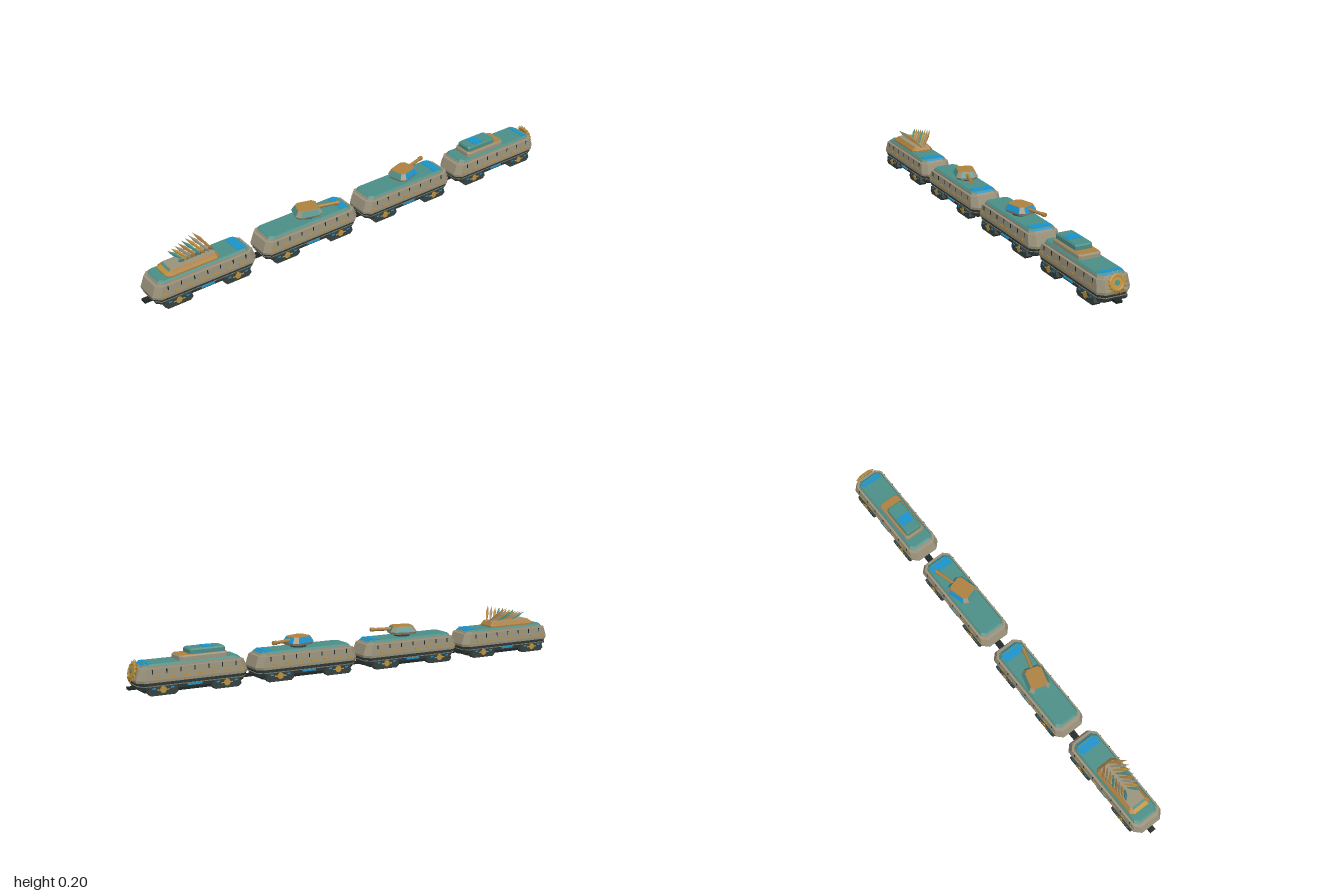
import * as THREE from 'three';

const mat = (name, color) => {
  const m = new THREE.MeshStandardMaterial({ color });
  m.name = name;
  return m;
};

export function createModel() {
  const beige = mat('armour beige', 0x99917a);
  const teal = mat('deck teal', 0x4b8e87);
  const brown = mat('bronze', 0xad8040);
  const dark = mat('chassis dark', 0x35413f);
  const black = mat('slit black', 0x1f2624);
  const blue = mat('glass blue', 0x1892cc);
  const gold = mat('hub gold', 0xba903c);

  const root = new THREE.Group();
  root.name = 'armouredTrain';

  const add = (parent, name, geo, material, x = 0, y = 0, z = 0) => {
    const m = new THREE.Mesh(geo, material);
    m.name = name;
    m.position.set(x, y, z);
    parent.add(m);
    return m;
  };
  const box = (parent, name, material, w, h, d, x, y, z) =>
    add(parent, name, new THREE.BoxGeometry(w, h, d), material, x, y, z);

  // Stack of rectangles with cut corners; each section is [y, halfX, halfZ, cut, zOffset].
  // Material groups: 0 corners and sides, 1 front face, 2 flanks, 3 rear face, 4 caps.
  const faceGroup = [2, 0, 3, 0, 2, 0, 1, 0];
  const loft = (sections) => {
    const rings = sections.map(([y, hx, hz, c, o = 0]) => [
      [hx, hz - c], [hx, c - hz], [hx - c, -hz], [c - hx, -hz],
      [-hx, c - hz], [-hx, hz - c], [c - hx, hz], [hx - c, hz],
    ].map(([x, z]) => [x, y, z + o]));
    const pos = [];
    const g = new THREE.BufferGeometry();
    const tri = (...pts) => pts.forEach((p) => pos.push(...p));
    for (let r = 0; r + 1 < rings.length; r++) {
      for (let i = 0; i < 8; i++) {
        const j = (i + 1) % 8, lo = rings[r], hi = rings[r + 1];
        g.addGroup(pos.length / 3, 6, faceGroup[i]);
        tri(lo[i], lo[j], hi[j]);
        tri(lo[i], hi[j], hi[i]);
      }
    }
    const first = rings[0], last = rings[rings.length - 1];
    g.addGroup(pos.length / 3, 36, 4);
    for (let i = 1; i < 7; i++) {
      tri(last[0], last[i], last[i + 1]);
      tri(first[0], first[i + 1], first[i]);
    }
    g.setAttribute('position', new THREE.Float32BufferAttribute(pos, 3));
    g.computeVertexNormals();
    return g;
  };

  // Hull, deck, chassis and running gear shared by every car
  const makeCar = (name, z, glassDepth = 0.035) => {
    const car = new THREE.Group();
    car.name = name;
    car.position.z = z;
    root.add(car);
    add(car, 'chassis', loft([
      [0.006, 0.044, 0.195, 0.015], [0.02, 0.058, 0.217, 0.02], [0.051, 0.068, 0.23, 0.024],
    ]), dark);
    add(car, 'chassisTrim', loft([
      [0.034, 0.0635, 0.225, 0.022], [0.0375, 0.065, 0.2265, 0.022],
    ]), beige);
    add(car, 'hull', loft([
      [0.05, 0.069, 0.231, 0.024], [0.06, 0.07, 0.233, 0.024], [0.104, 0.066, 0.218, 0.022],
      [0.105, 0.058, 0.207, 0.018], [0.113, 0.057, 0.203, 0.017],
    ]), beige);
    add(car, 'deck', loft([[0.113, 0.057, 0.202, 0.017], [0.12, 0.051, 0.194, 0.015]]),
      [teal, teal, teal, blue, teal]);
    box(car, 'deckGlass', blue, 0.092, 0.002, glassDepth, 0, 0.1205, -0.186 + glassDepth / 2);
    box(car, 'coupler', black, 0.026, 0.01, 0.5, 0, 0.025, 0);

    for (const s of [1, -1]) {
      // Firing slits and brass vents along the flank
      for (let i = 0; i < 7; i++) {
        const sz = (i - 3) * 0.058;
        box(car, 'slit', black, 0.003, 0.017, 0.004, s * 0.067, 0.093, sz);
        box(car, 'vent', gold, 0.004, 0.007, 0.022, s * 0.0692, 0.07, sz + 0.02);
      }
      box(car, 'skirtLamp', blue, 0.006, 0.007, 0.06, s * 0.0635, 0.03, 0);
      // Track bogies
      for (const b of [0.133, -0.133]) {
        const shape = new THREE.Shape([
          [-0.05, 0], [0.05, 0], [0.062, 0.012], [0.055, 0.034], [-0.055, 0.034], [-0.062, 0.012],
        ].map(([u, v]) => new THREE.Vector2(u, v)));
        const track = add(car, 'track',
          new THREE.ExtrudeGeometry(shape, { depth: 0.03, bevelEnabled: false }), dark,
          s > 0 ? 0.041 : -0.071, 0, b);
        track.rotation.y = Math.PI / 2;
        const hub = add(car, 'hub', new THREE.CylinderGeometry(0.014, 0.014, 0.004, 8), gold,
          s * 0.0705, 0.022, b);
        hub.rotation.z = Math.PI / 2;
        box(car, 'axleArm', gold, 0.004, 0.005, 0.05, s * 0.0705, 0.022, b);
        for (const e of [0.038, -0.038]) {
          box(car, 'bogieLamp', blue, 0.003, 0.006, 0.014, s * 0.0705, 0.028, b + e);
        }
      }
    }
    return car;
  };

  // Front car: sloped cabin with two rows of raised blades
  const lead = makeCar('spikeCar', 0.75);
  add(lead, 'cabinBase', loft([
    [0.119, 0.05, 0.118, 0.014, 0.045], [0.126, 0.05, 0.118, 0.014, 0.045],
    [0.136, 0.042, 0.107, 0.01, 0.041],
  ]), [brown, gold, brown, brown, brown]);
  add(lead, 'cabinRoof', loft([
    [0.1355, 0.041, 0.106, 0.006, 0.041], [0.143, 0.036, 0.099, 0.006, 0.039],
  ]), [brown, teal, brown, brown, beige]);
  const up = new THREE.Vector3(0, 1, 0);
  const bladeColors = [brown, beige, gold, teal];
  for (const s of [1, -1]) {
    for (let i = 0; i < 8; i++) {
      const len = 0.1 - i * 0.004;
      const dir = new THREE.Vector3(s * 0.058, 0.063, 0.05 + i * 0.004).normalize();
      const profile = [[0.003, 0], [0.0075, len * 0.62], [0, len]]
        .map(([r, y]) => new THREE.Vector2(r, y));
      const geo = new THREE.LatheGeometry(profile, 4).toNonIndexed();
      geo.computeVertexNormals();
      const blade = add(lead, 'blade', geo, bladeColors[i % 4], s * 0.004, 0.138, -0.065 + i * 0.018);
      blade.quaternion.setFromUnitVectors(up, dir);
    }
  }

  // Two gun cars, turrets swung to opposite sides and aimed backwards
  const gunCar = (name, z, yaw, flank) => {
    const car = makeCar(name, z);
    const turret = new THREE.Group();
    turret.name = 'turret';
    turret.position.z = -0.015;
    turret.rotation.y = yaw;
    car.add(turret);
    add(turret, 'turretRing', new THREE.CylinderGeometry(0.034, 0.034, 0.014, 12), dark, 0, 0.125, 0);
    add(turret, 'turretSkirt', loft([
      [0.13, 0.043, 0.054, 0.016], [0.14, 0.048, 0.058, 0.018],
    ]), beige);
    add(turret, 'turretShell', loft([
      [0.14, 0.048, 0.058, 0.018], [0.162, 0.037, 0.045, 0.013],
    ]), [beige, teal, flank, flank, brown]);
    add(turret, 'turretRoof', loft([
      [0.1615, 0.037, 0.045, 0.013], [0.1635, 0.036, 0.044, 0.013],
    ]), brown);
    const barrel = add(turret, 'barrel', new THREE.CylinderGeometry(0.0065, 0.008, 0.11, 8), brown,
      0, 0.15, -0.085);
    barrel.rotation.x = -Math.PI / 2;
    const muzzle = add(turret, 'muzzle', new THREE.CylinderGeometry(0.009, 0.009, 0.018, 8), brown,
      0, 0.15, -0.13);
    muzzle.rotation.x = -Math.PI / 2;
  };
  gunCar('frontGunCar', 0.25, -0.28, teal);
  gunCar('rearGunCar', -0.25, 0.28, blue);

  // Rear car: stepped hut and a toothed wheel on the sloping tail
  const tail = makeCar('hutCar', -0.75, 0.018);
  add(tail, 'hutBase', loft([
    [0.119, 0.048, 0.103, 0.01, 0.05], [0.134, 0.047, 0.102, 0.01, 0.05],
    [0.14, 0.043, 0.098, 0.009, 0.05],
  ]), [beige, beige, beige, beige, brown]);
  add(tail, 'hutTop', loft([
    [0.139, 0.037, 0.075, 0.006, 0.069], [0.155, 0.037, 0.075, 0.006, 0.069],
    [0.161, 0.033, 0.071, 0.006, 0.069],
  ]), teal);
  box(tail, 'hutSkylight', blue, 0.058, 0.002, 0.045, 0, 0.1615, 0.08);

  const wheel = new THREE.Group();
  wheel.name = 'toothedWheel';
  wheel.position.set(0, 0.092, -0.229);
  wheel.rotation.x = 0.3;
  tail.add(wheel);
  add(wheel, 'wheelRim', new THREE.TorusGeometry(0.027, 0.007, 6, 20), gold);
  const disc = add(wheel, 'wheelDisc', new THREE.CylinderGeometry(0.025, 0.025, 0.008, 16), gold);
  disc.rotation.x = Math.PI / 2;
  const boss = add(wheel, 'wheelBoss', new THREE.CylinderGeometry(0.01, 0.01, 0.014, 8), teal);
  boss.rotation.x = Math.PI / 2;
  for (let i = 0; i < 14; i++) {
    const a = (i / 14) * Math.PI * 2;
    const tooth = add(wheel, 'tooth', new THREE.ConeGeometry(0.006, 0.016, 4), gold,
      Math.cos(a) * 0.039, Math.sin(a) * 0.039, 0);
    tooth.rotation.z = a - Math.PI / 2;
  }
  return root;
}
